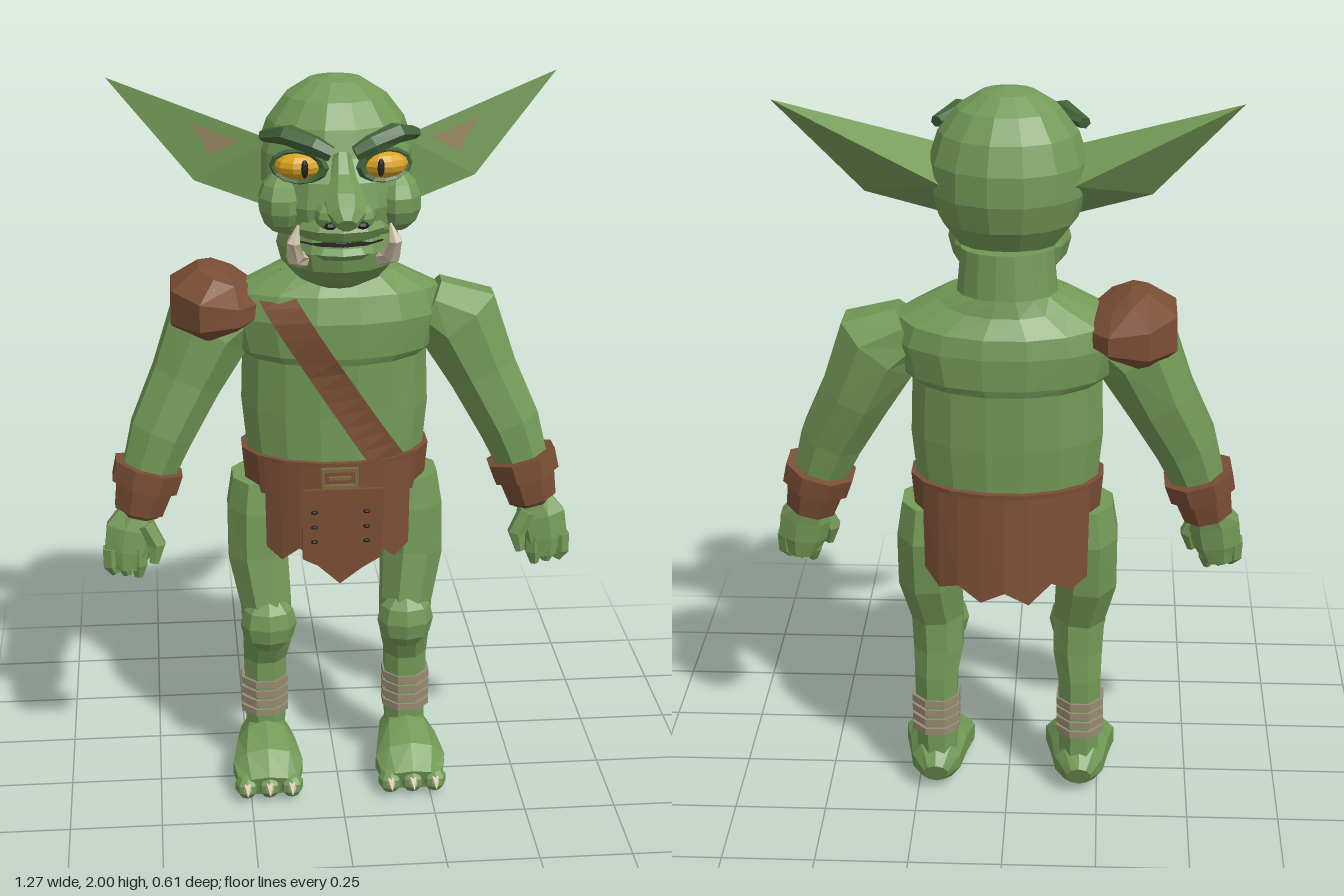
import * as THREE from 'three';
import { ConvexGeometry } from 'three/addons/geometries/ConvexGeometry.js';

const V = (x, y, z) => new THREE.Vector3(x, y, z);
const mat = (name, color) => {
  const m = new THREE.MeshStandardMaterial({ color, side: THREE.DoubleSide });
  m.name = name;
  return m;
};

// Faceted geometry from a flat list of triangle corners
function facets(pts) {
  const g = new THREE.BufferGeometry().setFromPoints(pts);
  g.computeVertexNormals();
  return g;
}
function flat(geo) {
  const g = geo.index ? geo.toNonIndexed() : geo;
  g.computeVertexNormals();
  return g;
}

// Skin elliptical rings [x, y, z, ru, rv] set square to the path through them
function loft(rings, n = 8, ref = V(0, 0, 1)) {
  const c = rings.map(r => V(r[0], r[1], r[2]));
  const loops = rings.map((r, i) => {
    const d = c[Math.min(i + 1, c.length - 1)].clone().sub(c[Math.max(i - 1, 0)]).normalize();
    const u = ref.clone().cross(d).normalize(), v = d.clone().cross(u);
    return Array.from({ length: n }, (_, j) => {
      const a = (j + 0.5) / n * Math.PI * 2;
      return c[i].clone().addScaledVector(u, r[3] * Math.cos(a)).addScaledVector(v, r[4] * Math.sin(a));
    });
  });
  const out = [], last = c.length - 1;
  for (let j = 0; j < n; j++) {
    const k = (j + 1) % n;
    for (let i = 0; i < last; i++) {
      const [a, b, e, f] = [loops[i][j], loops[i][k], loops[i + 1][j], loops[i + 1][k]];
      out.push(a, b, f, a, f, e);
    }
    out.push(c[0], loops[0][k], loops[0][j], c[last], loops[last][j], loops[last][k]);
  }
  return facets(out);
}

// Ribbon between two rows of points
function strip(a, b) {
  const out = [];
  for (let i = 0; i < a.length - 1; i++) out.push(a[i], b[i], b[i + 1], a[i], b[i + 1], a[i + 1]);
  return facets(out);
}

const blob = (x, y, z, rx, ry, rz, w = 10, h = 7) =>
  flat(new THREE.SphereGeometry(1, w, h).scale(rx, ry, rz).translate(x, y, z));
const box = (x, y, z, w, h, d) => flat(new THREE.BoxGeometry(w, h, d).translate(x, y, z));

function mirrored(geo) {
  const g = geo.clone().scale(-1, 1, 1), p = g.attributes.position;
  for (let i = 0; i < p.count; i += 3) {
    const a = V().fromBufferAttribute(p, i + 1), b = V().fromBufferAttribute(p, i + 2);
    p.setXYZ(i + 1, b.x, b.y, b.z);
    p.setXYZ(i + 2, a.x, a.y, a.z);
  }
  g.computeVertexNormals();
  return g;
}

export function createModel() {
  const root = new THREE.Group();
  root.name = 'goblin';
  const skin = mat('green skin', 0x739a57), brow = mat('dark green', 0x42643a);
  const leather = mat('brown leather', 0x7a4e35), darkLeather = mat('dark leather', 0x57392a);
  const amber = mat('amber eye', 0xd9a21f), black = mat('black', 0x241f1a);
  const bone = mat('bone', 0xcdc2a6), wrap = mat('ankle cloth', 0x978a72);
  const pink = mat('inner ear', 0x93855f), metal = mat('dull brass', 0x7b6a41);

  const add = (name, geo, m) => {
    const mesh = new THREE.Mesh(geo, m);
    mesh.name = name;
    root.add(mesh);
  };
  const pair = (name, geo, m) => {
    add(name + 'Left', geo, m);
    add(name + 'Right', mirrored(geo), m);
  };

  // Torso and neck
  const body = [
    [0, 0.84, -0.1, 0.19, 0.14], [0, 0.95, -0.1, 0.24, 0.165], [0, 1.1, -0.105, 0.255, 0.17],
    [0, 1.25, -0.105, 0.25, 0.175], [0, 1.27, -0.105, 0.275, 0.182], [0, 1.36, -0.105, 0.3, 0.185],
    [0, 1.42, -0.11, 0.28, 0.172], [0, 1.47, -0.115, 0.18, 0.135], [0, 1.49, -0.12, 0.13, 0.12],
    [0, 1.6, -0.11, 0.12, 0.12]];
  add('torso', loft(body, 16), skin);
  add('pelvis', blob(0, 0.83, -0.11, 0.18, 0.13, 0.13), skin);

  // Head
  add('cranium', blob(0, 1.775, -0.055, 0.205, 0.225, 0.188, 14, 9), skin);
  add('face', blob(0, 1.7, 0.03, 0.18, 0.17, 0.15, 12, 8), skin);
  add('jaw', blob(0, 1.583, 0.025, 0.16, 0.123, 0.155, 12, 8), skin);
  add('upperLip', blob(0, 1.648, 0.1, 0.125, 0.05, 0.1, 12, 6), skin);
  add('mouth', blob(0, 1.61, 0.085, 0.12, 0.01, 0.108, 12, 4), black);
  add('lowerLip', blob(0, 1.585, 0.09, 0.11, 0.03, 0.1, 12, 6), skin);
  pair('cheek', blob(0.145, 1.7, 0.075, 0.065, 0.08, 0.08, 9, 7), skin);

  // Nose
  add('nose', loft([[0, 1.83, 0.14, 0.025, 0.03], [0, 1.78, 0.18, 0.035, 0.03],
    [0, 1.735, 0.235, 0.055, 0.045], [0, 1.71, 0.27, 0.05, 0.04], [0, 1.695, 0.295, 0.025, 0.02]]), skin);
  pair('nostrilWing', blob(0.045, 1.705, 0.235, 0.032, 0.032, 0.045, 8, 6), skin);
  pair('nostril', blob(0.04, 1.69, 0.275, 0.016, 0.01, 0.012, 6, 4), black);

  // Eyes and brows
  pair('eye', blob(0.105, 1.808, 0.125, 0.064, 0.036, 0.05, 10, 8), amber);
  pair('pupil', blob(0.095, 1.808, 0.172, 0.009, 0.024, 0.006, 6, 6), black);
  const lid = new THREE.TorusGeometry(0.064, 0.013, 5, 12).scale(1, 0.6, 1).rotateY(0.3).translate(0.107, 1.806, 0.135);
  pair('eyelid', flat(lid), brow);
  pair('brow', loft([[0.03, 1.848, 0.185, 0.02, 0.02], [0.07, 1.868, 0.18, 0.026, 0.028],
    [0.135, 1.888, 0.14, 0.026, 0.03], [0.19, 1.872, 0.07, 0.016, 0.02]], 6), brow);

  // Ears
  const A = V(0.585, 1.98, -0.137), B = V(0.17, 1.84, -0.015), C = V(0.365, 1.725, -0.06);
  pair('ear', flat(new ConvexGeometry([A, B, C, V(0.17, 1.66, -0.02), V(0.17, 1.77, -0.15)])), skin);
  const onEar = (a, b, c) => V(0.002, 0.001, 0.006).addScaledVector(A, a).addScaledVector(B, b).addScaledVector(C, c);
  pair('innerEar', facets([onEar(0.4, 0.42, 0.18), onEar(0.1, 0.72, 0.18), onEar(0.1, 0.35, 0.55)]), pink);

  // Tusks
  pair('tusk', loft([[0.1, 1.565, 0.14, 0.02, 0.02], [0.122, 1.59, 0.195, 0.024, 0.022],
    [0.127, 1.635, 0.222, 0.018, 0.016], [0.115, 1.678, 0.215, 0.003, 0.003]], 6), bone);

  // Arms, bracers and hands
  pair('arm', loft([[0.25, 1.37, -0.095, 0.08, 0.09], [0.335, 1.325, -0.09, 0.125, 0.11],
    [0.4, 1.18, -0.075, 0.1, 0.1], [0.47, 1.04, -0.045, 0.09, 0.088], [0.52, 0.9, -0.03, 0.07, 0.072]]), skin);
  pair('bracer', loft([[0.508, 0.94, -0.035, 0.09, 0.093], [0.537, 0.825, -0.025, 0.07, 0.075]]), leather);
  pair('bracerBand', loft([[0.505, 0.948, -0.035, 0.099, 0.103], [0.52, 0.895, -0.03, 0.095, 0.1]]), leather);
  pair('bracerLining', loft([[0.536, 0.83, -0.025, 0.06, 0.064], [0.539, 0.818, -0.025, 0.058, 0.062]]), darkLeather);
  pair('hand', loft([[0.54, 0.84, -0.015, 0.042, 0.04], [0.56, 0.78, 0, 0.072, 0.045],
    [0.57, 0.72, 0.005, 0.068, 0.045], [0.575, 0.67, 0.01, 0.045, 0.038]], 7), skin);
  pair('thumb', loft([[0.52, 0.8, 0.02, 0.026, 0.026], [0.49, 0.74, 0.025, 0.026, 0.026], [0.5, 0.69, 0.035, 0.014, 0.014]], 6), skin);
  for (let i = 0; i < 3; i++)
    pair('finger' + i, loft([[0.54 + i * 0.037, 0.73, 0.01, 0.026, 0.035],
      [0.54 + i * 0.037, 0.68, 0.015, 0.025, 0.032], [0.543 + i * 0.03, 0.645 + i * 0.006, 0.02, 0.012, 0.016]], 6), skin);

  // Legs
  pair('leg', loft([[0.21, 0.89, -0.1, 0.075, 0.1], [0.215, 0.8, -0.1, 0.085, 0.115],
    [0.213, 0.66, -0.085, 0.088, 0.108], [0.195, 0.53, -0.05, 0.075, 0.09], [0.192, 0.42, -0.06, 0.072, 0.082],
    [0.198, 0.35, -0.08, 0.063, 0.068], [0.198, 0.1, -0.08, 0.058, 0.062]]), skin);
  pair('knee', blob(0.19, 0.48, 0, 0.078, 0.085, 0.062, 8, 6), skin);
  for (let i = 0; i < 4; i++) {
    const y = 0.182 + i * 0.029;
    pair('ankleWrap' + i, loft([[0.2, y, -0.08, 0.07, 0.073], [0.2, y + 0.02, -0.08, 0.07, 0.073]]), wrap);
  }

  // Feet
  pair('foot', loft([[0.2, 0.06, -0.15, 0.035, 0.035], [0.2, 0.078, -0.11, 0.07, 0.07],
    [0.2, 0.083, -0.02, 0.085, 0.082], [0.2, 0.068, 0.07, 0.102, 0.066], [0.2, 0.045, 0.14, 0.085, 0.035]], 10, V(0, 1, 0)), skin);
  for (let i = 0; i < 3; i++) {
    const x = 0.138 + i * 0.062;
    pair('toe' + i, blob(x, 0.042, 0.125, 0.034, 0.036, 0.04, 8, 5), skin);
    pair('claw' + i, flat(new THREE.ConeGeometry(0.015, 0.04, 5).rotateX(Math.PI / 2 + 0.25).translate(x, 0.045, 0.17)), bone);
  }

  // Belt and ragged skirt
  add('belt', loft([[0, 0.87, -0.102, 0.248, 0.176], [0, 0.98, -0.102, 0.258, 0.182]], 16), leather);
  const rim = (a, y, rx, rz) => V(rx * Math.sin(a), y, -0.102 + rz * Math.cos(a));
  const skirt = (name, mid, half, rz, hem) => {
    const ang = hem.map((_, i) => mid + half * (2 * i / (hem.length - 1) - 1));
    add(name, strip(ang.map(a => rim(a, 0.97, 0.26, 0.184)), ang.map((a, i) => rim(a, hem[i], 0.255, rz))), leather);
  };
  skirt('skirtFront', 0, 0.86, 0.18, [0.72, 0.69, 0.73, 0.68, 0.7, 0.68, 0.73, 0.69, 0.72]);
  skirt('skirtBack', Math.PI, 1.0, 0.205, [0.74, 0.7, 0.72, 0.68, 0.71, 0.675, 0.73, 0.7, 0.72]);
  const flap = new THREE.Shape([[-0.1, 0.91], [-0.1, 0.71], [-0.06, 0.69], [0, 0.635], [0.06, 0.68], [0.11, 0.71], [0.12, 0.91]]
    .map(p => new THREE.Vector2(...p)));
  add('loinFlap', flat(new THREE.ExtrudeGeometry(flap, { depth: 0.01, bevelEnabled: false }).translate(0, 0, 0.08)), leather);
  for (const y of [0.77, 0.812, 0.855]) pair('flapStud', blob(0.07, y, 0.112, 0.01, 0.006, 0.006, 6, 4), black);

  // Buckle
  for (const s of [-1, 1]) {
    add('buckleBar', box(0, 0.942 + s * 0.024, 0.088, 0.1, 0.01, 0.014), metal);
    add('buckleSide', box(s * 0.045, 0.942, 0.088, 0.01, 0.05, 0.014), metal);
  }
  add('bucklePin', box(0, 0.942, 0.088, 0.06, 0.008, 0.01), metal);

  // Chest strap that follows the torso
  const chestZ = (x, y) => {
    const i = Math.max(1, body.findIndex(r => r[1] >= y)), a = body[i - 1], b = body[i];
    const t = (y - a[1]) / (b[1] - a[1]), mix = k => a[k] + (b[k] - a[k]) * t;
    return mix(2) + mix(4) * Math.sqrt(Math.max(0.15, 1 - (x / mix(3)) ** 2)) + 0.012;
  };
  const edge = s => Array.from({ length: 15 }, (_, i) => {
    const x = -0.18 + 0.32 * i / 14 + s * 0.037, y = 1.46 - 0.5 * i / 14 + s * 0.024;
    return V(x, y, chestZ(x, y));
  });
  add('chestStrap', strip(edge(-1), edge(1)), leather);

  // Shoulder pad
  add('shoulderPad', loft([[-0.3, 1.33, -0.1, 0.1, 0.14], [-0.31, 1.36, -0.1, 0.137, 0.187],
    [-0.31, 1.42, -0.1, 0.135, 0.185], [-0.295, 1.465, -0.1, 0.075, 0.11], [-0.29, 1.475, -0.1, 0.03, 0.05]]), leather);
  for (const z of [-0.215, 0.02]) add('padStud', blob(-0.325, 1.449, z, 0.009, 0.009, 0.009, 6, 4), wrap);

  return root;
}
